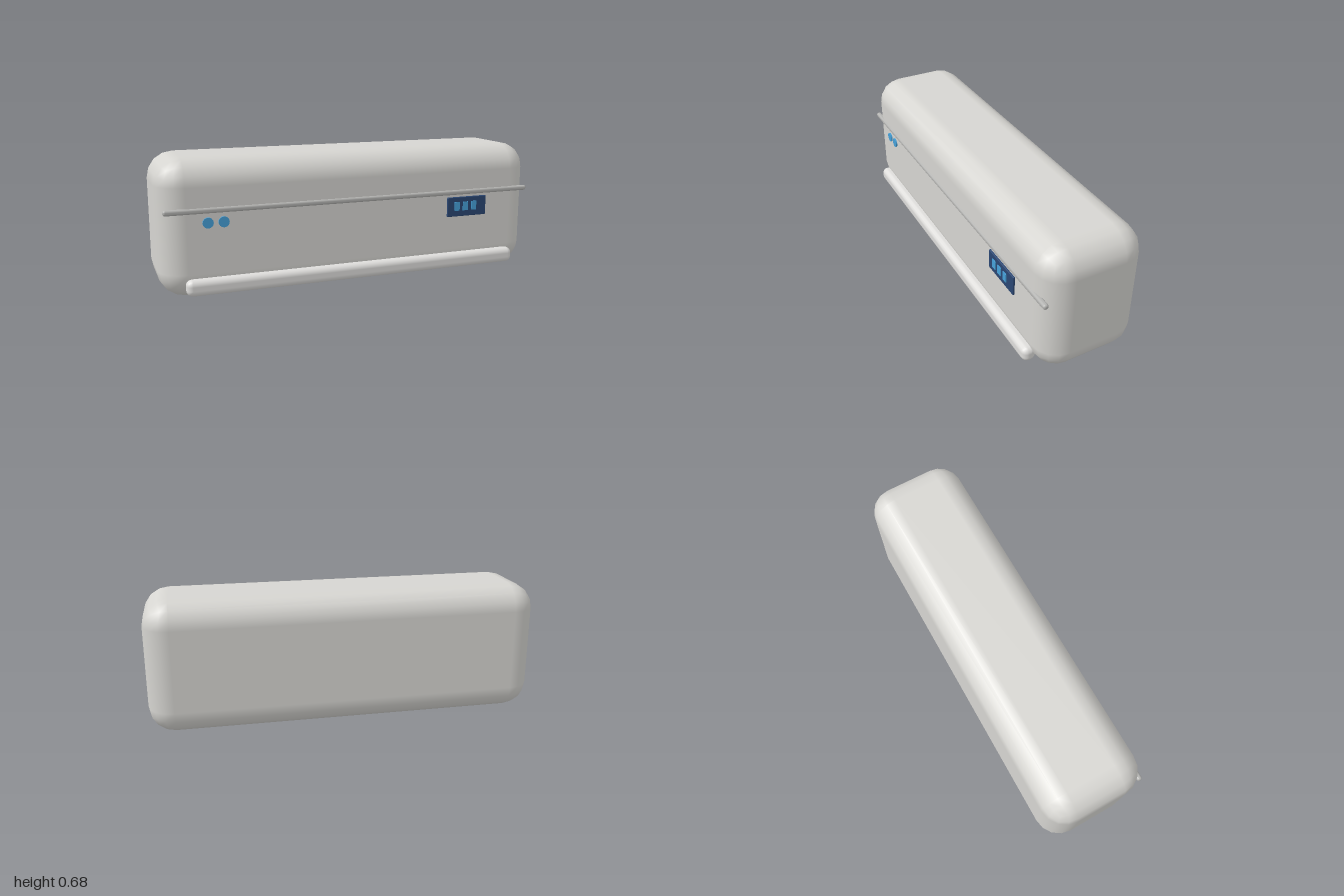
import * as THREE from 'three';

const paint = (name, color) => {
  const m = new THREE.MeshStandardMaterial({ color });
  m.name = name;
  return m;
};

// Box with evenly stepped round edges: each edge is an arc of four facets
function softBox(w, h, d, r) {
  const geo = new THREE.BoxGeometry(2, 2, 2, 5, 5, 5);
  const pos = geo.attributes.position, nor = geo.attributes.normal;
  const half = [w / 2, h / 2, d / 2];
  const n = new THREE.Vector3();
  // grid steps 0.2, 0.6, 1 become angles 0, 22.5, 45 degrees
  const bend = (c) => Math.sign(c) * Math.tan(((Math.abs(c) - 0.2) / 0.8) * Math.PI / 4);
  for (let i = 0; i < pos.count; i++) {
    const c = [pos.getX(i), pos.getY(i), pos.getZ(i)];
    n.set(bend(c[0]), bend(c[1]), bend(c[2])).normalize();
    const p = c.map((v, k) => Math.sign(v) * (half[k] - r) + n.getComponent(k) * r);
    pos.setXYZ(i, ...p);
    nor.setXYZ(i, n.x, n.y, n.z);
  }
  return geo;
}

export function createModel() {
  const group = new THREE.Group();
  group.name = 'wallAirConditioner';
  const casing = paint('casingGrey', 0xd6d5d1);
  const ventGrey = paint('ventGrey', 0xdedddb);
  const trimGrey = paint('trimGrey', 0xb4b4b2);
  const navy = paint('displayNavy', 0x2a4672);
  const blue = paint('lightBlue', 0x46a0d8);

  const add = (name, geo, mat, x, y, z) => {
    const mesh = new THREE.Mesh(geo, mat);
    mesh.name = name;
    mesh.position.set(x, y, z);
    group.add(mesh);
    return mesh;
  };

  // Main casing
  add('body', softBox(2, 0.675, 0.513, 0.13), casing, 0, 0.3375, -0.0185);
  // Air outlet bar along the lower front
  add('airOutlet', softBox(1.77, 0.08, 0.07, 0.03), ventGrey, 0, 0.07, 0.242);
  // Thin trim rod across the front
  add('trimRod', softBox(1.95, 0.027, 0.027, 0.0115), trimGrey, 0, 0.434, 0.233);

  // Display panel with three lit digits
  add('displayPanel', softBox(0.23, 0.104, 0.02, 0.004), navy, 0.605, 0.357, 0.237);
  for (let i = 0; i < 3; i++) {
    add('displayDigit', new THREE.BoxGeometry(0.03, 0.047, 0.008), blue, 0.545 + i * 0.05, 0.36, 0.247);
  }

  // Round indicator buttons
  for (const x of [-0.77, -0.695]) {
    const button = add('indicatorButton', new THREE.CylinderGeometry(0.026, 0.026, 0.016, 16), blue, x, 0.376, 0.238);
    button.rotation.x = Math.PI / 2;
  }
  return group;
}
